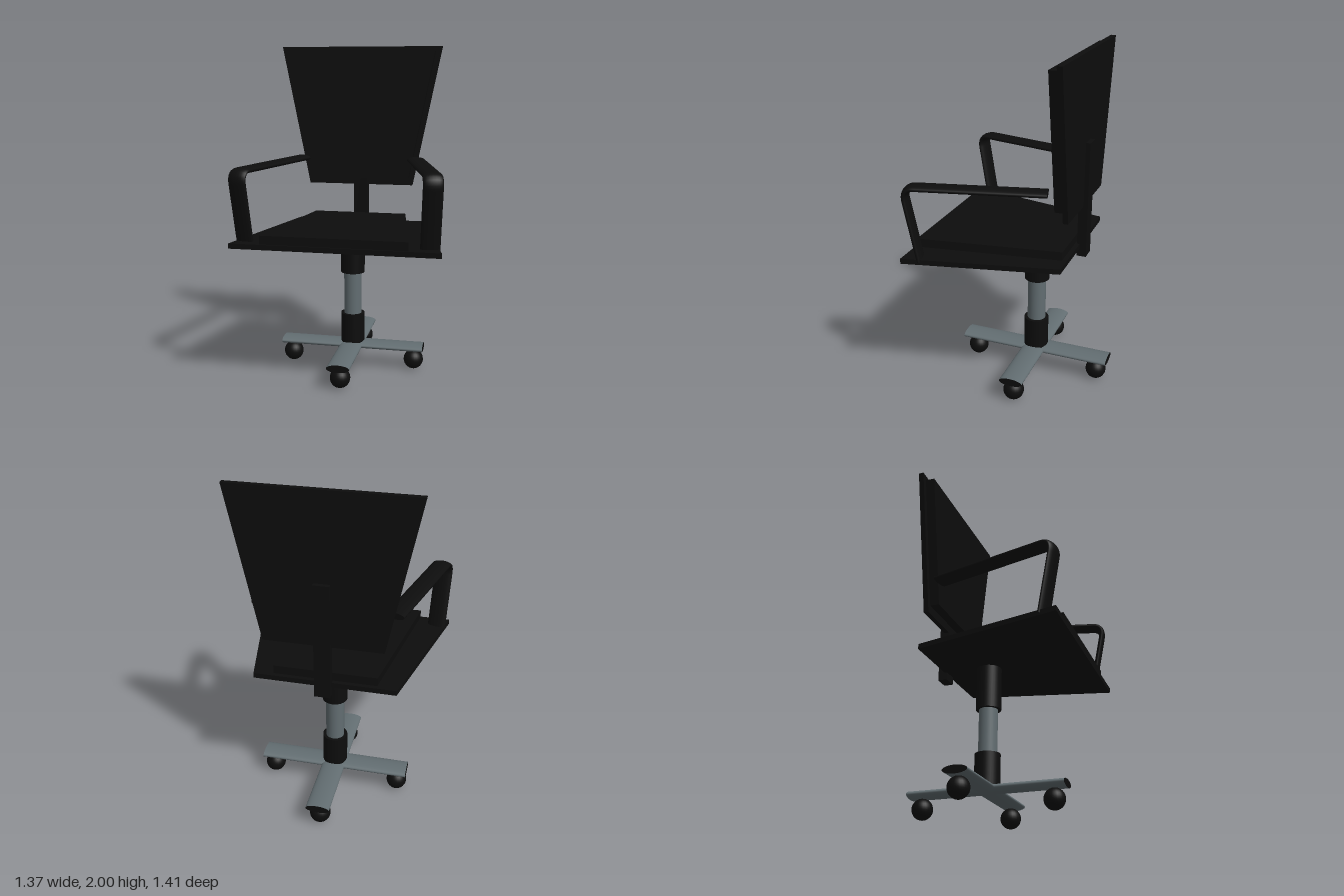
import * as THREE from 'three';

export function createModel() {
  const black = new THREE.MeshStandardMaterial({ color: 0x0d0d0d });
  black.name = 'black';
  const steel = new THREE.MeshStandardMaterial({ color: 0x626d71 });
  steel.name = 'steel grey';

  // Everything is built facing +z, then the whole chair is swivelled
  const model = new THREE.Group();
  model.name = 'officeChair';
  const chair = new THREE.Group();
  chair.name = 'swivelledChair';
  chair.rotation.y = -0.906;
  model.add(chair);

  function add(name, geometry, material, x = 0, y = 0, z = 0, parent = chair) {
    const mesh = new THREE.Mesh(geometry, material);
    mesh.name = name;
    mesh.position.set(x, y, z);
    parent.add(mesh);
    return mesh;
  }

  // Symmetric four-sided slab: half width h0 at v0, h1 at v1
  function slab(h0, v0, h1, v1, depth) {
    const shape = new THREE.Shape([
      new THREE.Vector2(-h0, v0), new THREE.Vector2(h0, v0),
      new THREE.Vector2(h1, v1), new THREE.Vector2(-h1, v1),
    ]);
    return new THREE.ExtrudeGeometry(shape, { depth, bevelEnabled: false });
  }

  // Seat: wide plate with a smaller cushion, both narrowing to the back
  add('seatPlate', slab(0.6, -0.397, 0.405, 0.465, 0.03).rotateX(-Math.PI / 2), black, 0, 0.865, 0);
  add('seatCushion', slab(0.42, -0.385, 0.295, 0.44, 0.05).rotateX(-Math.PI / 2), black, 0, 0.895, 0);

  // Backrest: upright shell, cushion and support bar
  add('backShell', slab(0.335, 1.13, 0.51, 2.0, 0.03), black, 0, 0, -0.48);
  add('backCushion', slab(0.315, 1.18, 0.47, 1.97, 0.055), black, 0, 0, -0.45);
  add('backSupport', new THREE.BoxGeometry(0.09, 0.68, 0.055), black, 0, 1.16, -0.4775);

  // Armrests: flat oval tube, leaning leg bent into a level rest
  const P = (y, z) => new THREE.Vector3(0, y, z);
  const path = new THREE.CurvePath();
  path.add(new THREE.LineCurve3(P(0.88, -0.09), P(1.23, -0.022)));
  path.add(new THREE.CubicBezierCurve3(P(1.23, -0.022), P(1.27, -0.014), P(1.302, -0.03), P(1.302, -0.075)));
  path.add(new THREE.LineCurve3(P(1.302, -0.075), P(1.302, -0.79)));
  for (const side of [-1, 1]) {
    const arm = new THREE.Group();
    arm.name = side > 0 ? 'leftArmrest' : 'rightArmrest';
    arm.position.set(side * 0.55, 0, 0.395);
    arm.rotation.y = side * 0.237;
    chair.add(arm);
    add('armTube', new THREE.TubeGeometry(path, 90, 0.019, 20).scale(2.95, 1, 1), black, 0, 0, 0, arm);
    add('armEnd', new THREE.CircleGeometry(0.019, 20).rotateY(Math.PI).scale(2.95, 1, 1), black, 0, 1.302, -0.79, arm);
  }

  // Gas lift column
  const stemZ = -0.196;
  add('lowerCollar', new THREE.CylinderGeometry(0.074, 0.074, 0.22, 32), black, 0, 0.235, stemZ);
  add('liftColumn', new THREE.CylinderGeometry(0.055, 0.055, 0.3, 32), steel, 0, 0.475, stemZ);
  add('upperCollar', new THREE.CylinderGeometry(0.074, 0.074, 0.26, 32), black, 0, 0.74, stemZ);

  // Four-armed foot: two oval beams with dark ends, a ball caster under each end
  const base = new THREE.Group();
  base.name = 'footCross';
  base.position.z = stemZ;
  chair.add(base);
  for (let i = 0; i < 2; i++) {
    const beam = new THREE.CylinderGeometry(0.07, 0.07, i ? 0.9 : 0.925, 28)
      .rotateX(Math.PI / 2).scale(1, 0.33, 1).rotateY(i * Math.PI / 2);
    add('footBeam', beam, [steel, black, black], 0, 0.141, 0, base);
  }
  for (let i = 0; i < 4; i++) {
    const a = i * Math.PI / 2;
    add('caster', new THREE.SphereGeometry(0.061, 24, 16), black,
      0.39 * Math.sin(a), 0.061, 0.39 * Math.cos(a), base);
  }

  return model;
}
